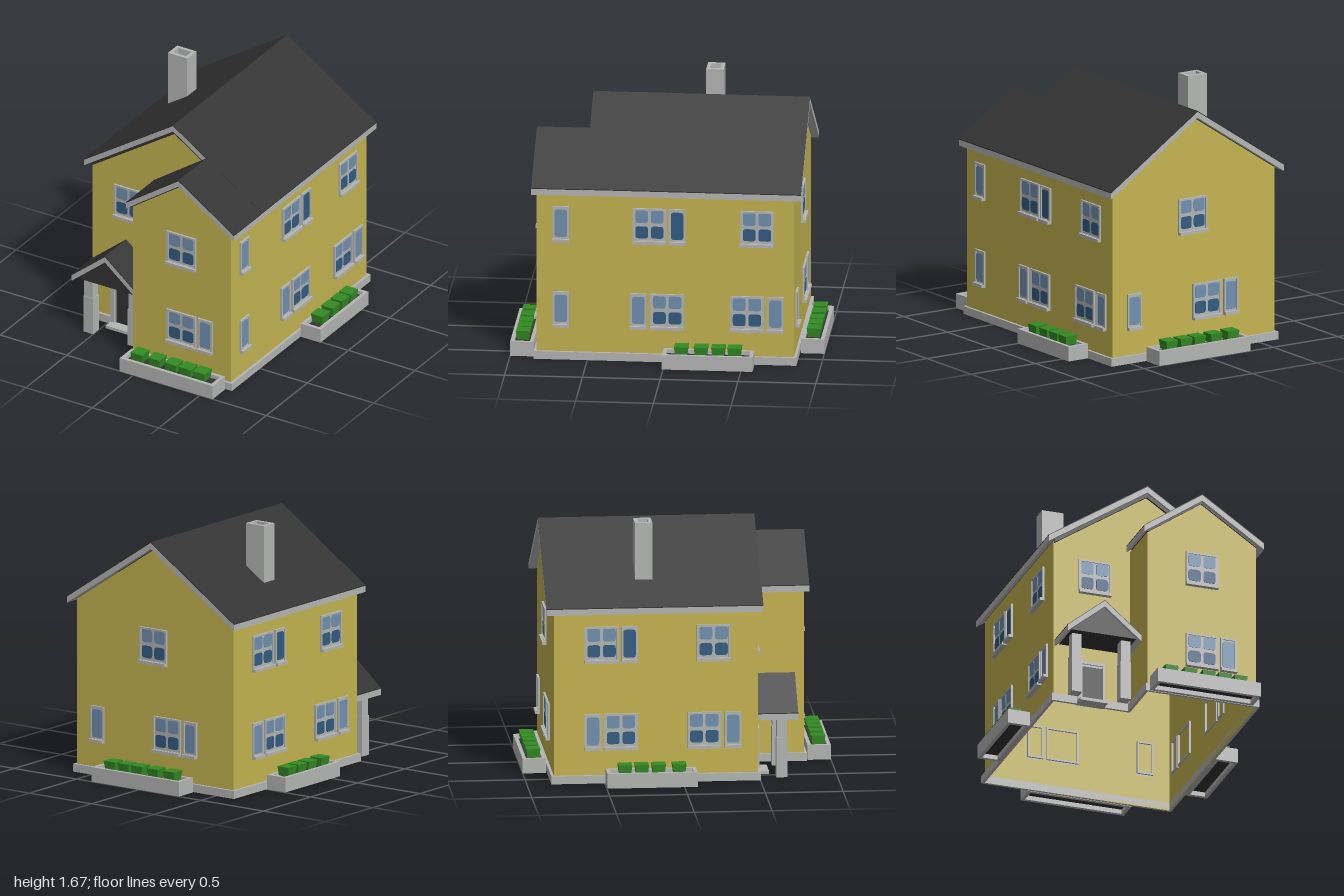
import * as THREE from 'three';

const mat = (name, color, side = THREE.FrontSide) => {
  const m = new THREE.MeshStandardMaterial({ color, side });
  m.name = name;
  return m;
};

export function createModel() {
  const wallMat = mat('yellow wall', 0xc4b450, THREE.DoubleSide);
  const trim = mat('grey trim', 0xb4b6b4);
  const dark = mat('charcoal roof', 0x333333);
  const leaf = mat('green plant', 0x348c24);
  const glassLight = mat('light glass', 0x7090b0);
  const glassDark = mat('dark glass', 0x335c82);

  const house = new THREE.Group();
  house.name = 'house';

  const add = (parent, name, geo, material) => {
    const m = new THREE.Mesh(geo, material);
    m.name = name;
    parent.add(m);
    return m;
  };
  const box = (parent, name, material, x0, x1, y0, y1, z0, z1) => {
    const g = new THREE.BoxGeometry(x1 - x0, y1 - y0, z1 - z0);
    g.translate((x0 + x1) / 2, (y0 + y1) / 2, (z0 + z1) / 2);
    return add(parent, name, g, material);
  };
  const poly = (pts) => new THREE.Shape(pts.map(([x, y]) => new THREE.Vector2(x, y)));
  const rect = (x0, x1, y0, y1) => poly([[x0, y0], [x1, y0], [x1, y1], [x0, y1]]);
  const extrude = (shape, z0, z1) =>
    new THREE.ExtrudeGeometry(shape, { depth: z1 - z0, bevelEnabled: false, curveSegments: 4 }).translate(0, 0, z0);
  const ring = (x0, x1, y0, y1, t) => {
    const s = rect(x0, x1, y0, y1);
    s.holes.push(rect(x0 + t, x1 - t, y0 + t, y1 - t));
    return s;
  };

  // Each side of the house is a group whose local +z points outward
  const side = (name, angle) => {
    const g = new THREE.Group();
    g.name = name;
    g.rotation.y = angle;
    house.add(g);
    return g;
  };
  const front = side('frontSide', 0);
  const left = side('leftSide', Math.PI / 2);
  const right = side('rightSide', -Math.PI / 2);
  const back = side('backSide', Math.PI);

  // Walls: open shell without a floor
  const W = 0.627, D = 0.826, F = 0.485, WX = -0.11;
  const wall = (parent, name, pts, z) =>
    add(parent, name, new THREE.ShapeGeometry(poly(pts)), wallMat).position.z = z;
  wall(front, 'mainFrontWall', [[-W, 0], [WX, 0], [WX, 1.12], [0.25, 1.37], [0.25, 1.38], [0, 1.55], [-W, 1.135]], F);
  wall(front, 'wingFrontWall', [[WX, 0], [W, 0], [W, 1.135], [0.25, 1.383], [WX, 1.13]], D);
  wall(back, 'backWall', [[-W, 0], [W, 0], [W, 1.135], [0, 1.55], [-W, 1.135]], D);
  wall(left, 'leftWall', [[-D, 0], [D, 0], [D, 1.137], [-D, 1.137]], W);
  wall(right, 'rightWall', [[-D, 0], [F, 0], [F, 1.137], [-D, 1.137]], W);
  wall(right, 'wingSideWall', [[F, 0], [D, 0], [D, 1.13], [F, 1.13]], -WX);

  // Plinth strips round the footprint, with a gap at the door
  const P = 0.018;
  [[-W - P, W + P, -D - P, -D], [W, W + P, -D, D], [-W - P, -W, -D, F + P],
    [WX - P, W + P, D, D + P], [WX - P, WX, F + P, D], [-W, -0.475, F, F + P], [-0.288, WX, F, F + P]]
    .forEach(([x0, x1, z0, z1]) => box(house, 'plinth', trim, x0, x1, 0, 0.052, z0, z1));

  // Roofs: dark skin over grey slab, seen at the verges and eaves
  const chevron = (cx, top, l, r, sl, sr, t) => poly([
    [cx - l, top - sl * l], [cx - l, top - sl * l - t], [cx, top - t],
    [cx + r, top - sr * r - t], [cx + r, top - sr * r], [cx, top]]);
  const roof = (name, cx, top, l, r, sl, sr, z0, z1) => {
    add(house, name + 'Tiles', extrude(chevron(cx, top, l, r, sl, sr, 0.006), z0, z1), dark);
    add(house, name + 'Verge', extrude(chevron(cx, top - 0.006, l, r, sl, sr, 0.04), z0, z1), trim);
  };
  roof('mainRoof', 0, 1.604, 0.67, 0.67, 0.664, 0.664, -0.875, 0.517);
  roof('wingRoof', 0.25, 1.436, 0.392, 0.42, 0.7, 0.664, 0.517, 0.858);
  add(house, 'mainSoffit', extrude(chevron(0, 1.558, 0.626, 0.3, 0.664, 0.664, 0.026), -0.82, 0.5), dark);
  add(house, 'wingSoffit', extrude(chevron(0.25, 1.39, 0.36, 0.376, 0.7, 0.664, 0.012), 0.517, 0.835), dark);

  // Chimney
  const flue = extrude(ring(-0.468, -0.323, 0.179, 0.291, 0.024), 1.2, 1.666).rotateX(-Math.PI / 2);
  add(house, 'chimney', flue, trim);
  box(house, 'chimneyFlue', dark, -0.446, -0.345, 1.2, 1.61, -0.268, -0.202);

  // Windows
  const pane = (parent, material, cx, y0, y1, w) => {
    const s = new THREE.Shape(), r = 0.02, x0 = cx - w / 2, x1 = cx + w / 2;
    s.moveTo(x0 + r, y0);
    s.lineTo(x1 - r, y0).quadraticCurveTo(x1, y0, x1, y0 + r);
    s.lineTo(x1, y1 - r).quadraticCurveTo(x1, y1, x1 - r, y1);
    s.lineTo(x0 + r, y1).quadraticCurveTo(x0, y1, x0, y1 - r);
    s.lineTo(x0, y0 + r).quadraticCurveTo(x0, y0, x0 + r, y0);
    add(parent, 'pane', extrude(s, 0.004, 0.009), material);
  };
  const windowUnit = (parent, cx, y, z, kind) => {
    const g = new THREE.Group();
    g.name = 'window';
    g.position.set(cx, y, z);
    parent.add(g);
    const h = kind === 'four' ? 0.109 : 0.054;
    add(g, 'windowFrame', extrude(ring(-h, h, 0.01, 0.237, 0.012), -0.012, 0.014), trim);
    box(g, 'windowPanel', trim, -h + 0.01, h - 0.01, 0.02, 0.23, 0.001, 0.006);
    box(g, 'windowSill', trim, -h, h, 0, 0.02, 0, 0.03);
    if (kind === 'four') {
      for (const x of [-0.05, 0.05]) {
        pane(g, glassLight, x, 0.14, 0.226, 0.082);
        pane(g, glassDark, x, 0.037, 0.117, 0.082);
      }
    } else pane(g, kind === 'dark' ? glassDark : glassLight, 0, 0.032, 0.215, 0.08);
  };
  const UP = 0.79, LOW = 0.217;
  windowUnit(front, -0.35, UP, F, 'four');
  [
    [front, D, [[0.257, UP, 'four'], [0.257, LOW, 'four'], [0.437, LOW, 'light']]],
    [left, W, [[-0.671, UP, 'light'], [-0.671, LOW, 'light'], [-0.101, UP, 'four'], [0.077, UP, 'dark'],
      [0.59, UP, 'four'], [-0.173, LOW, 'light'], [0.013, LOW, 'four'], [0.525, LOW, 'four'], [0.708, LOW, 'light']]],
    [right, W, [[-0.52, UP, 'four'], [-0.34, UP, 'dark'], [0.2, UP, 'four'], [-0.575, LOW, 'light'],
      [-0.395, LOW, 'four'], [0.14, LOW, 'four'], [0.325, LOW, 'light']]],
    [back, D, [[-0.01, UP, 'four'], [-0.46, LOW, 'light'], [0.1, LOW, 'four'], [0.285, LOW, 'light']]],
  ].forEach(([parent, z, list]) => list.forEach(([x, y, kind]) => windowUnit(parent, x, y, z, kind)));

  // Planters with tapered box plants
  const plantGeo = new THREE.CylinderGeometry(0.0636, 0.053, 0.06, 4).rotateY(Math.PI / 4).toNonIndexed();
  plantGeo.computeVertexNormals();
  const planter = (parent, x0, x1, z0, z1, plants) => {
    const g = new THREE.Group();
    g.name = 'planter';
    parent.add(g);
    add(g, 'planterBox', extrude(ring(x0, x1, -z1, -z0, 0.024), 0, 0.096).rotateX(-Math.PI / 2), trim);
    box(g, 'soil', dark, x0 + 0.02, x1 - 0.02, 0.03, 0.07, z0 + 0.02, z1 - 0.02);
    plants.forEach((x) => add(g, 'plant', plantGeo, leaf).position.set(x, 0.113, (z0 + z1) / 2));
  };
  planter(front, -0.103, 0.597, 0.85, 1, [0.005, 0.134, 0.258, 0.368, 0.474]);
  planter(back, -0.38, 0.323, 0.85, 1, [-0.26, -0.148, -0.043, 0.085, 0.215]);
  planter(left, -0.008, 0.575, 0.645, 0.795, [0.112, 0.239, 0.351, 0.455]);
  planter(right, -0.495, 0.085, 0.645, 0.795, [-0.378, -0.27, -0.162, -0.03]);

  // Porch
  const px = -0.372;
  roof('porchRoof', px, 0.642, 0.25, 0.25, 0.83, 0.83, F, 0.745);
  add(house, 'porchGable', extrude(poly([[px - 0.22, 0.408], [px + 0.22, 0.408], [px, 0.6]]), F, 0.725), dark);
  for (const s of [-1, 1]) {
    const cx = px + s * 0.166;
    box(house, 'porchColumnBase', trim, cx - 0.036, cx + 0.036, 0, 0.26, 0.608, 0.68);
    box(house, 'porchColumn', trim, cx - 0.032, cx + 0.032, 0.26, 0.42, 0.612, 0.676);
  }

  // Door with frame and step
  const frame = rect(-0.475, -0.288, 0, 0.305);
  frame.holes.push(rect(-0.448, -0.3, 0.02, 0.285));
  add(house, 'doorFrame', extrude(frame, F - 0.008, F + 0.025), trim);
  box(house, 'door', dark, -0.438, -0.3, 0.02, 0.27, F, F + 0.012);
  box(house, 'doorHead', trim, -0.448, -0.3, 0.27, 0.285, F, F + 0.016);
  box(house, 'doorPost', trim, -0.448, -0.438, 0.02, 0.285, F, F + 0.016);
  box(house, 'doorStep', trim, -0.475, -0.288, 0, 0.02, F, 0.57);

  return house;
}
